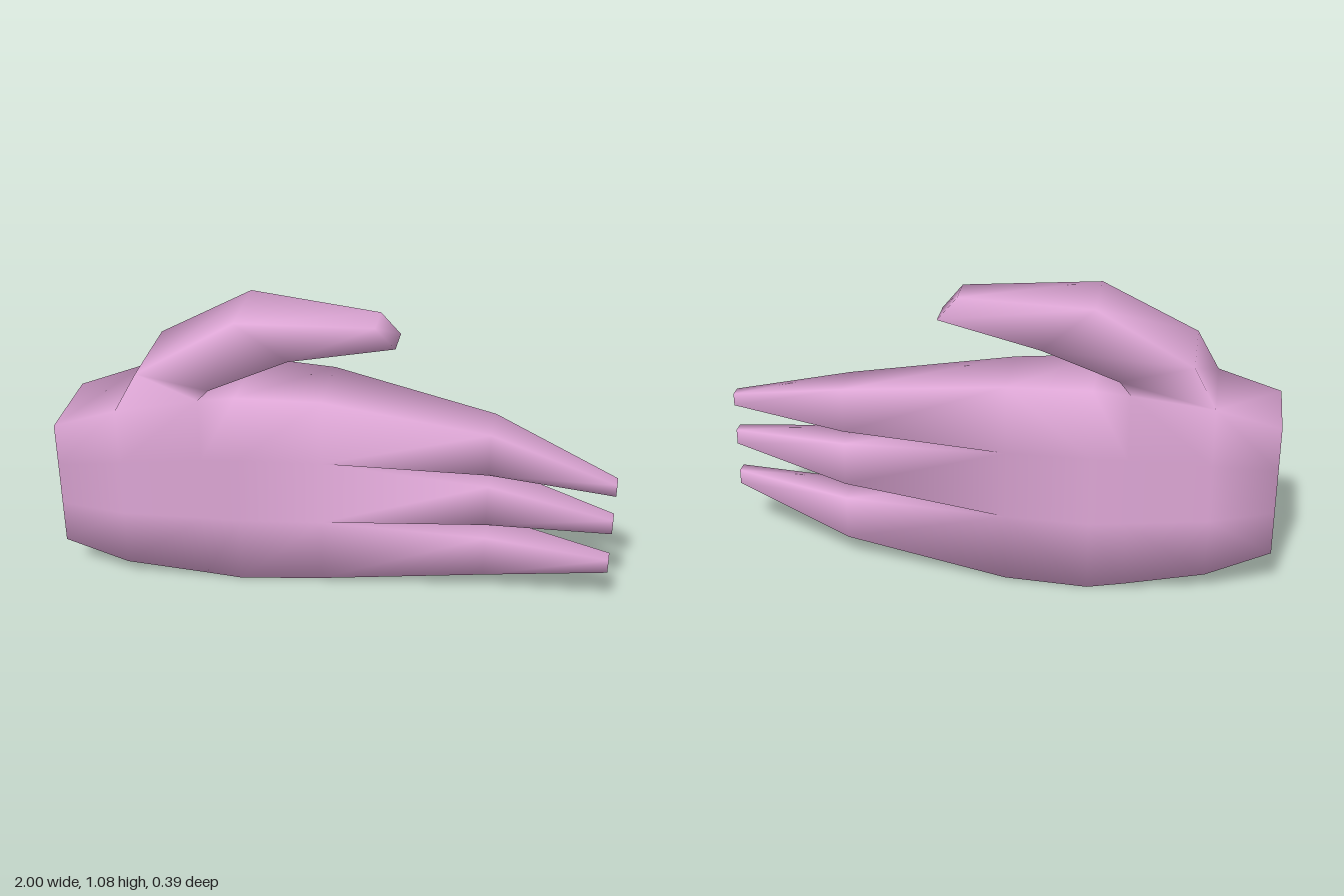
import * as THREE from 'three';

// One continuous smooth skin: palm grid, then fingers and thumb lofted from its open edges.
export function createModel() {
  const skin = new THREE.MeshStandardMaterial({ color: 0xdda6d5 });
  skin.name = 'pinkSkin';

  const positions = [];
  const index = [];
  const vertex = (x, y, z) => positions.push(x, y, z) / 3 - 1;
  const quad = (a, b, c, d) => index.push(a, b, c, a, c, d);

  // Palm columns from wrist to knuckles: x, bottom, top, back z, front z
  const columns = [
    [-1, 0.15, 0.65, -0.11, 0.195],
    [-0.77, 0.07, 0.73, -0.16, 0.18],
    [-0.48, 0.02, 0.775, -0.187, 0.125],
    [-0.35, 0.0, 0.79, -0.197, 0.105],
    [-0.05, 0.012, 0.782, -0.197, 0.062],
  ];
  const last = columns.length - 1;
  const front = [], back = [];
  for (const [x, y0, y1, zb, zf] of columns) {
    const rows = [0, 1, 2, 3].map((r) => y0 + ((y1 - y0) * r) / 3);
    front.push(rows.map((y) => vertex(x, y, zf)));
    back.push(rows.map((y) => vertex(x, y, zb)));
  }

  for (let c = 0; c < last; c++) {
    for (let r = 0; r < 3; r++) {
      quad(front[c][r], front[c + 1][r], front[c + 1][r + 1], front[c][r + 1]);
      quad(back[c][r], back[c][r + 1], back[c + 1][r + 1], back[c + 1][r]);
    }
    quad(back[c][0], back[c + 1][0], front[c + 1][0], front[c][0]);
    // the thumb grows from the gap left at column 1
    if (c !== 1) quad(front[c][3], front[c + 1][3], back[c + 1][3], back[c][3]);
  }
  // Wrist end
  for (let r = 0; r < 3; r++) quad(back[0][r], front[0][r], front[0][r + 1], back[0][r + 1]);

  // Joins four-cornered rings and closes the tip
  function loft(rings) {
    for (let s = 0; s < rings.length - 1; s++) {
      const a = rings[s], b = rings[s + 1];
      for (let i = 0; i < 4; i++) {
        const j = (i + 1) % 4;
        quad(a[i], b[i], b[j], a[j]);
      }
    }
    const t = rings[rings.length - 1];
    quad(t[3], t[2], t[1], t[0]);
  }

  // Fingers: y range at the joint and at the tip
  const fingers = [
    [0.09, 0.255, 0.2, 0.255],
    [0.315, 0.48, 0.37, 0.427],
    [0.53, 0.697, 0.53, 0.577],
  ];
  const section = (x, lo, hi, zb, zf) =>
    [vertex(x, lo, zf), vertex(x, hi, zf), vertex(x, hi, zb), vertex(x, lo, zb)];
  fingers.forEach(([jointLo, jointHi, tipLo, tipHi], r) => {
    loft([
      [front[last][r], front[last][r + 1], back[last][r + 1], back[last][r]],
      section(0.55, jointLo, jointHi, -0.128, 0.022),
      section(1, tipLo, tipHi, 0.02, 0.066),
    ]);
  });

  // Thumb sections: inner x, y, front z, back z, then the same for the outer edge
  const thumb = [
    [-0.44, 0.82, 0.125, -0.178, -0.69, 0.88, 0.162, -0.158],
    [-0.17, 0.925, 0.05, -0.19, -0.35, 1.077, 0.09, -0.17],
    [0.2, 0.985, -0.008, -0.122, 0.13, 1.068, 0.01, -0.112],
  ].map(([xi, yi, fi, bi, xo, yo, fo, bo]) =>
    [vertex(xi, yi, fi), vertex(xo, yo, fo), vertex(xo, yo, bo), vertex(xi, yi, bi)]);
  loft([[front[2][3], front[1][3], back[1][3], back[2][3]], ...thumb]);

  const geometry = new THREE.BufferGeometry();
  geometry.setAttribute('position', new THREE.Float32BufferAttribute(positions, 3));
  geometry.setIndex(index);
  geometry.computeVertexNormals();

  const hand = new THREE.Mesh(geometry, skin);
  hand.name = 'hand';
  const group = new THREE.Group();
  group.name = 'threeFingeredHand';
  group.add(hand);
  return group;
}
